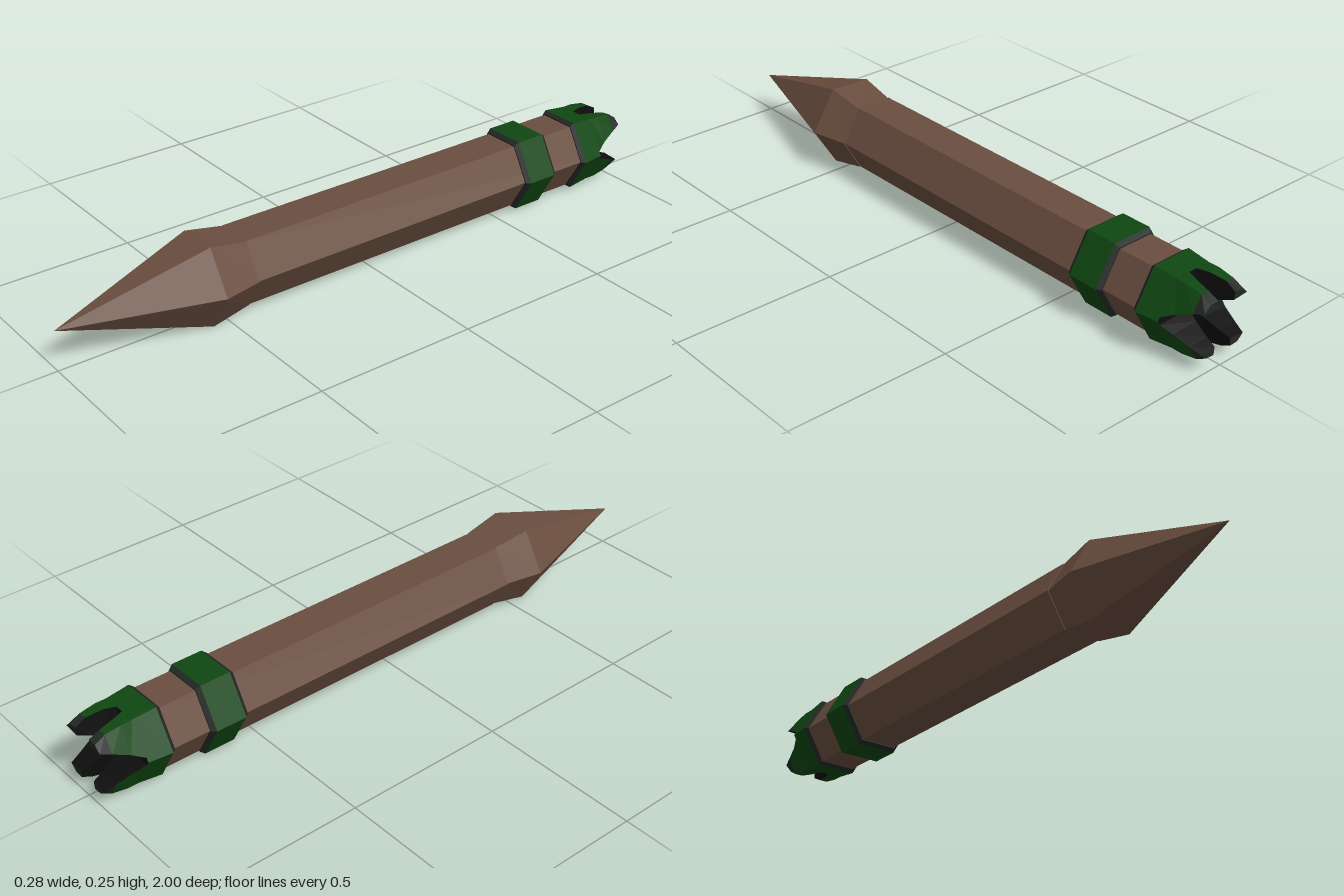
import * as THREE from 'three';

const material = (name, color) => {
  const m = new THREE.MeshStandardMaterial({ color });
  m.name = name;
  return m;
};

// Hexagonal cross-section with a corner pointing along +x
const hex = (z, r) => ({
  z,
  pts: Array.from({ length: 6 }, (_, i) => {
    const a = (i * Math.PI) / 3;
    return [r * Math.cos(a), r * Math.sin(a)];
  }),
});

// Faceted skin through sections listed from back to front.
// pick(section, side) gives a material index; side -1 is an end cap.
function loft(sections, pick = () => 0, sx = 1, sy = 1) {
  const pos = [];
  const geo = new THREE.BufferGeometry();
  const tri = (a, b, c, mat) => {
    geo.addGroup(pos.length / 3, 3, mat);
    const order = sx * sy < 0 ? [a, c, b] : [a, b, c];
    for (const p of order) pos.push(p[0] * sx, p[1] * sy, p[2]);
  };
  const loops = sections.map((s) => s.pts.map(([x, y]) => [x, y, s.z]));
  const n = loops[0].length;
  for (let k = 0; k < loops.length - 1; k++) {
    const a = loops[k], b = loops[k + 1];
    for (let i = 0; i < n; i++) {
      const j = (i + 1) % n;
      tri(a[i], a[j], b[j], pick(k, i));
      tri(a[i], b[j], b[i], pick(k, i));
    }
  }
  const last = loops.length - 1;
  for (let i = 1; i < n - 1; i++) {
    tri(loops[0][0], loops[0][i + 1], loops[0][i], pick(0, -1));
    tri(loops[last][0], loops[last][i], loops[last][i + 1], pick(last, -1));
  }
  geo.setAttribute('position', new THREE.Float32BufferAttribute(pos, 3));
  geo.computeVertexNormals();
  return geo;
}

export function createModel() {
  const group = new THREE.Group();
  const wood = material('brown wood', 0x6a4e3f);
  const green = material('dark green', 0x0f4712);
  const edge = material('charcoal edge', 0x222824);
  const black = material('black hollow', 0x0d0e0d);
  const mats = [green, edge, black];

  const add = (name, geo, mat, x = -0.003) => {
    const mesh = new THREE.Mesh(geo, mat);
    mesh.name = name;
    mesh.position.set(x, 0.125, 0);
    group.add(mesh);
  };

  // Six-sided shaft
  add('shaft', loft([hex(-0.86, 0.117), hex(0.43, 0.117)]), wood);

  // Flared pointed head, its ring a little uneven
  const ring = {
    z: 0.55,
    pts: [[0.141, 0], [0.063, 0.125], [-0.07, 0.12], [-0.141, 0], [-0.07, -0.12], [0.063, -0.125]],
  };
  add('head', loft([hex(0.43, 0.117), ring, hex(1, 0.0001)]), wood, 0);

  // Band with bevelled ends
  add('band', loft(
    [hex(-0.685, 0.121), hex(-0.672, 0.132), hex(-0.575, 0.132), hex(-0.562, 0.121)],
    (k, i) => (k === 1 && i >= 0 ? 0 : 1)), mats);

  // Solid base of the notched tail
  add('tailBase', loft(
    [hex(-0.885, 0.122), hex(-0.812, 0.13), hex(-0.8, 0.12)],
    (k, i) => (i < 0 ? 2 : k === 0 ? 0 : 1)), mats);

  // Four tapering prongs: inner corner, side notch, hexagon corner, top notch
  const prong = [
    { z: -1, pts: [[0.03, 0.058], [0.08, 0.062], [0.06, 0.08], [0.032, 0.082]] },
    { z: -0.968, pts: [[0.024, 0.046], [0.088, 0.05], [0.06, 0.098], [0.034, 0.098]] },
    { z: -0.92, pts: [[0.014, 0.026], [0.1, 0.03], [0.062, 0.105], [0.026, 0.105]] },
    { z: -0.885, pts: [[0.004, 0.01], [0.115, 0.012], [0.061, 0.1055], [0.014, 0.1055]] },
  ];
  const paint = (k, i) => (i < 0 ? 1 : i === 1 || i === 2 ? (k === 0 ? 1 : 0) : 2);
  for (const sx of [1, -1]) {
    for (const sy of [1, -1]) {
      const name = (sy > 0 ? 'upper' : 'lower') + (sx > 0 ? 'Left' : 'Right') + 'Prong';
      add(name, loft(prong, paint, sx, sy), mats);
    }
  }
  return group;
}
